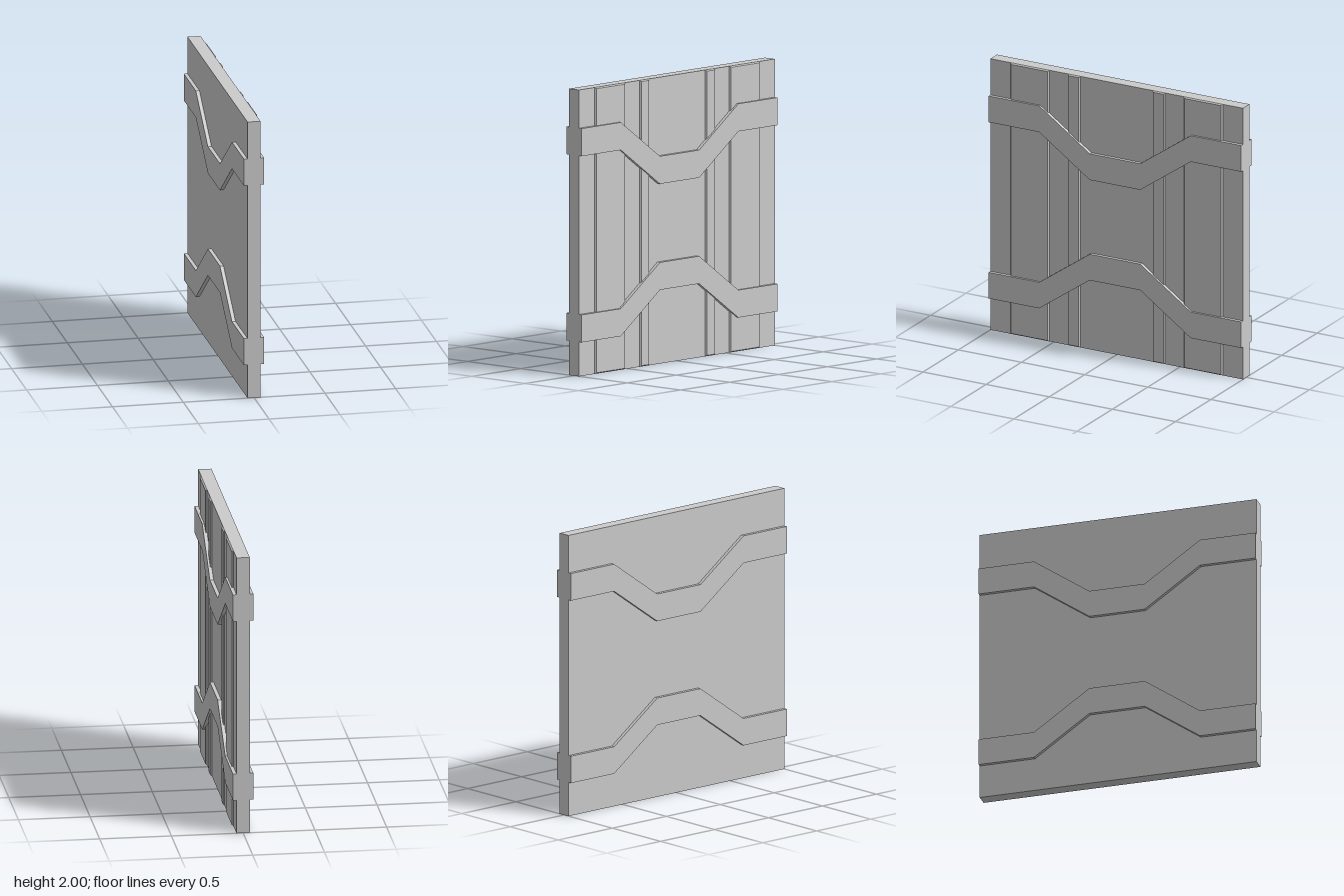
import * as THREE from 'three';

const material = new THREE.MeshStandardMaterial({ color: 0xcccccc, flatShading: true });

const PANEL_HALF = 0.046; // half thickness of the door panel
const BAND_HALF = 0.0715; // half thickness of the wrapping bands

function addMesh(parent, geometry, name) {
  const mesh = new THREE.Mesh(geometry, material);
  mesh.name = name;
  parent.add(mesh);
  return mesh;
}

// Raised plank whose outer face is inset to give a bevelled rim
function plankGeometry(width) {
  const bevel = 0.008;
  const geometry = new THREE.BoxGeometry(0.03, 2, width);
  const pos = geometry.attributes.position;
  for (let i = 0; i < pos.count; i++) {
    if (pos.getX(i) < 0) continue;
    pos.setY(i, pos.getY(i) - Math.sign(pos.getY(i)) * bevel);
    pos.setZ(i, pos.getZ(i) - Math.sign(pos.getZ(i)) * bevel);
  }
  // slope only the part that stands proud of the panel
  geometry.scale(0.011 / 0.03, 1, 1);
  geometry.translate(0.0055, 0, 0);
  geometry.computeVertexNormals();
  return geometry;
}

// Band with a cranked centre, running right through the panel
function bandGeometry(endY, middleY, height) {
  const path = [[-1, endY], [-0.6, endY], [-0.2, middleY], [0.2, middleY], [0.6, endY], [1, endY]];
  const upper = path.map(([z, y]) => new THREE.Vector2(z, y + height));
  const lower = path.map(([z, y]) => new THREE.Vector2(z, y));
  const shape = new THREE.Shape([...lower, ...upper.reverse()]);
  const geometry = new THREE.ExtrudeGeometry(shape, { depth: 2 * BAND_HALF, bevelEnabled: false });
  geometry.translate(0, 0, -BAND_HALF);
  geometry.rotateY(Math.PI / 2);
  return geometry;
}

export function createModel() {
  const group = new THREE.Group();
  group.name = 'panelDoor';

  addMesh(group, new THREE.BoxGeometry(2 * PANEL_HALF, 2, 2), 'panel').position.y = 1;

  // Wide and narrow planks, mirrored front to back on the +x face
  for (const [name, inner, outer] of [['widePlank', 0.533, 0.84], ['narrowPlank', 0.287, 0.383]]) {
    for (const side of [1, -1]) {
      const plank = addMesh(group, plankGeometry(outer - inner), name);
      plank.position.set(PANEL_HALF, 1, side * (inner + outer) / 2);
    }
  }

  // Upper band dips, lower band rises
  addMesh(group, bandGeometry(1.54, 1.26, 0.193), 'upperBand');
  addMesh(group, bandGeometry(0.24, 0.52, 0.192), 'lowerBand');

  return group;
}
